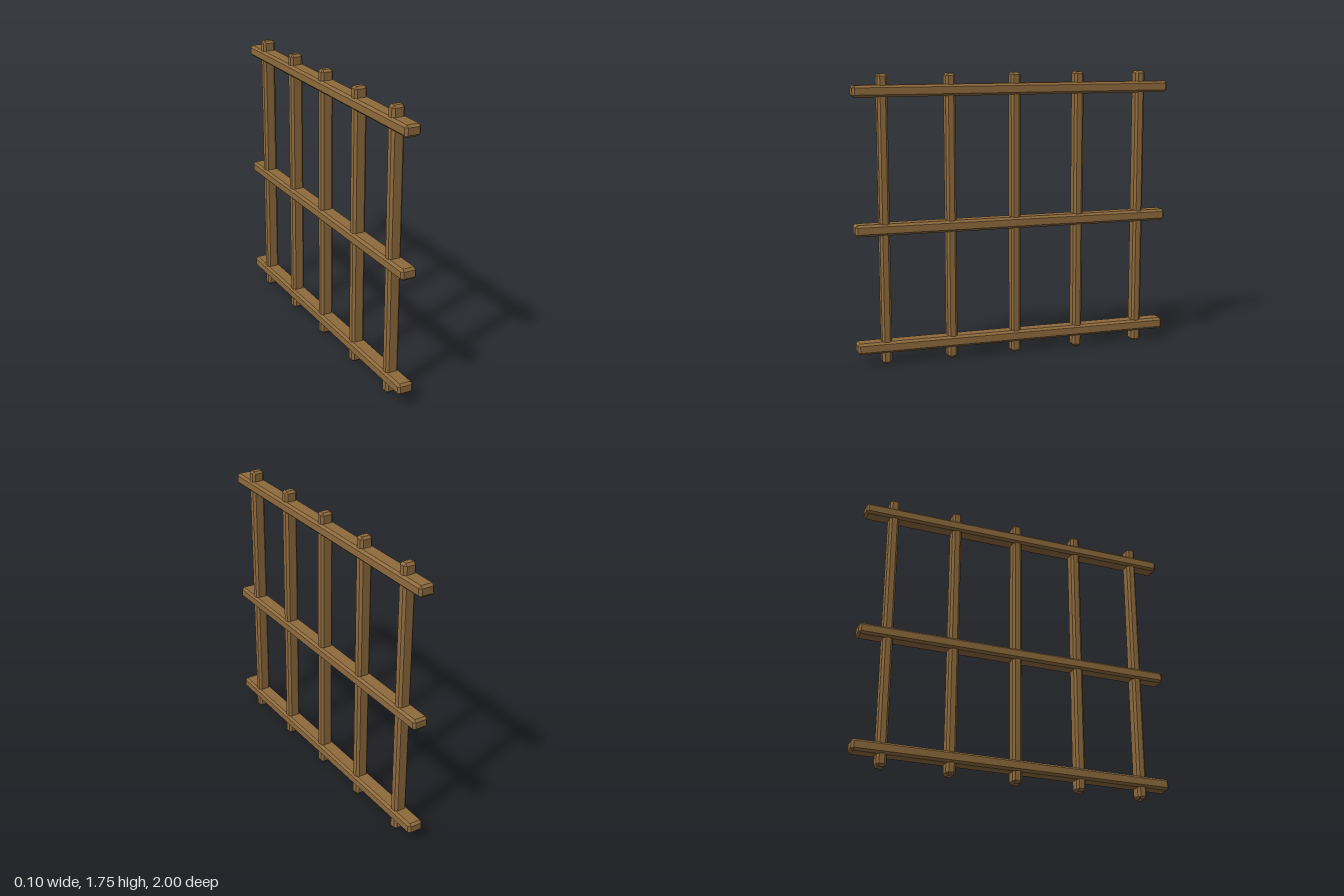
import * as THREE from 'three';
import { ConvexGeometry } from 'three/addons/geometries/ConvexGeometry.js';

// Box with every edge and corner cut by a flat chamfer
function chamferedBox(w, h, d, c) {
  const points = [];
  for (const sx of [-1, 1]) for (const sy of [-1, 1]) for (const sz of [-1, 1]) {
    for (let axis = 0; axis < 3; axis++) {
      const inset = [c, c, c];
      inset[axis] = 0;
      points.push(new THREE.Vector3(
        sx * (w / 2 - inset[0]), sy * (h / 2 - inset[1]), sz * (d / 2 - inset[2])));
    }
  }
  return new ConvexGeometry(points);
}

export function createModel() {
  const group = new THREE.Group();
  group.name = 'latticeFence';
  const wood = new THREE.MeshStandardMaterial({ color: 0x8f6b3d, flatShading: true });
  const height = 1.745, chamfer = 0.014;

  // Upright bars
  const barGeometry = chamferedBox(0.08, height, 0.06, chamfer);
  for (let i = -2; i <= 2; i++) {
    const bar = new THREE.Mesh(barGeometry, wood);
    bar.name = 'uprightBar' + (i + 3);
    bar.position.set(0, height / 2, i * 0.41);
    group.add(bar);
  }

  // Horizontal rails
  const railGeometry = chamferedBox(0.1, 0.07, 2, chamfer);
  const rails = { bottomRail: 0.105, middleRail: 0.825, topRail: 1.645 };
  for (const [name, y] of Object.entries(rails)) {
    const rail = new THREE.Mesh(railGeometry, wood);
    rail.name = name;
    rail.position.y = y;
    group.add(rail);
  }
  return group;
}
